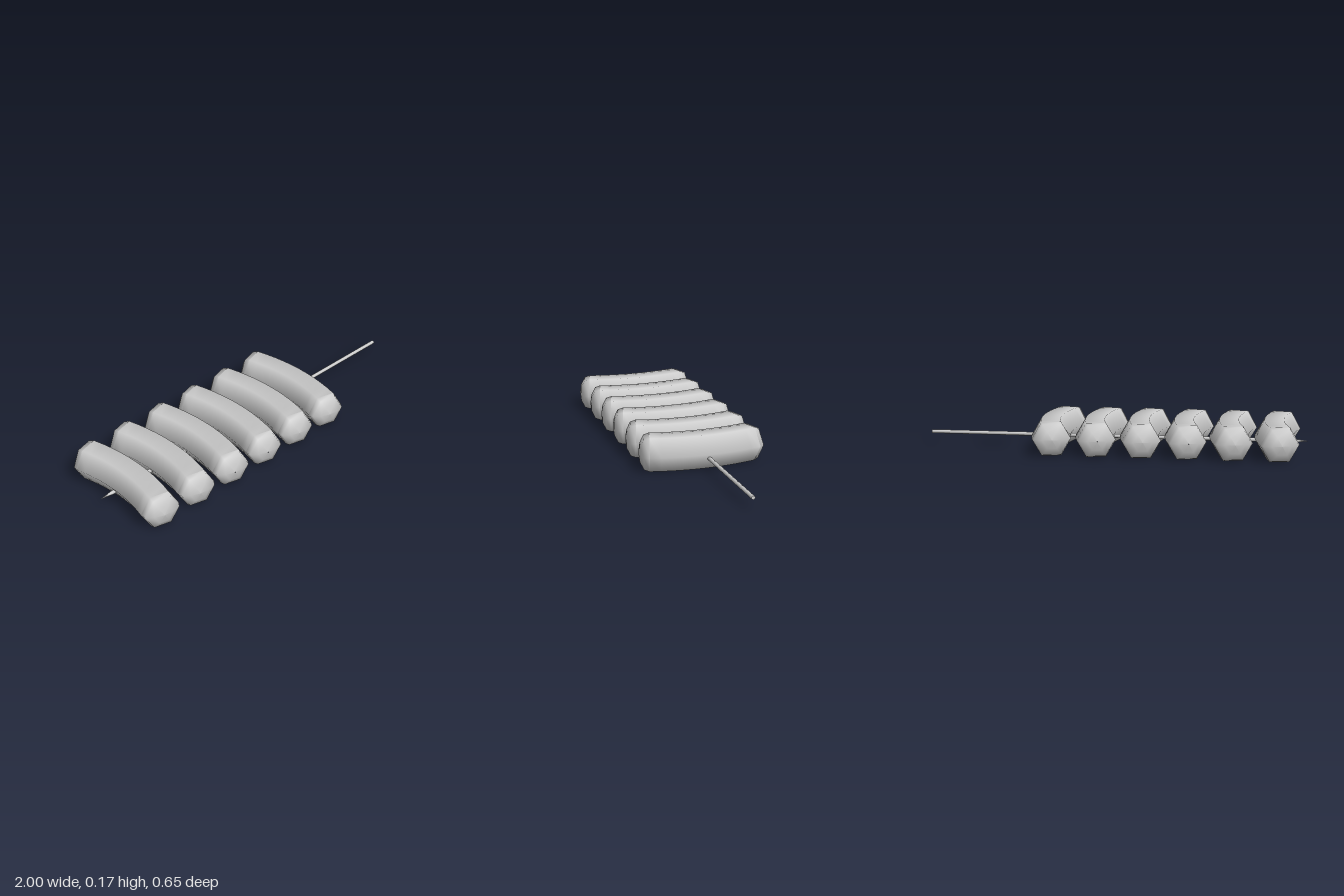
import * as THREE from 'three';

const material = new THREE.MeshStandardMaterial({ color: 0xcccccc });
const SIDES = 6, BEND = 1, HALF_ANGLE = 0.27, RADIUS = 0.1;

// Skin six-sided rings along a bent path; each ring is [arc angle, offset along tangent, radius]
function loft(rings) {
  const pos = [], index = [];
  for (const [t, h, r] of rings) {
    const c = Math.cos(t), s = Math.sin(t);
    for (let j = 0; j < SIDES; j++) {
      const a = (j / SIDES) * Math.PI * 2;
      const out = BEND + r * Math.cos(a);
      pos.push(out * c - BEND - h * s, r * Math.sin(a), out * s + h * c);
    }
  }
  for (let i = 0; i < rings.length - 1; i++) {
    for (let j = 0; j < SIDES; j++) {
      const k = (j + 1) % SIDES;
      const a = i * SIDES + j, b = i * SIDES + k;
      index.push(a, b, b + SIDES, a, b + SIDES, a + SIDES);
    }
  }
  const geometry = new THREE.BufferGeometry();
  geometry.setAttribute('position', new THREE.Float32BufferAttribute(pos, 3));
  geometry.setIndex(index);
  geometry.computeVertexNormals();
  return geometry;
}

function mesh(name, geometry) {
  const m = new THREE.Mesh(geometry, material);
  m.name = name;
  return m;
}

export function createModel() {
  const model = new THREE.Group();
  model.name = 'skewer';

  // Curved body and rounded ends shared by all pieces
  const bodyRings = [];
  for (let i = 0; i <= 10; i++) bodyRings.push([(i / 5 - 1) * HALF_ANGLE, 0, RADIUS]);
  const body = loft(bodyRings);
  const profile = [[0, RADIUS], [0.028, 0.09], [0.048, 0.05], [0.055, 0.001]];
  const frontCap = loft(profile.map(([h, r]) => [HALF_ANGLE, h, r]));
  const backCap = loft(profile.map(([h, r]) => [-HALF_ANGLE, -h, r]).reverse());

  // Row of six pieces
  for (let i = 0; i < 6; i++) {
    const piece = new THREE.Group();
    piece.name = `piece${i + 1}`;
    piece.add(mesh('body', body), mesh('frontEnd', frontCap), mesh('backEnd', backCap));
    piece.position.set(-0.825 + i * 0.231, 0.0868, 0);
    model.add(piece);
  }

  // Thin stick with a pointed tip towards -x
  const stickProfile = [[0.0005, -1], [0.01, -0.93], [0.01, -0.93], [0.01, 1], [0.01, 1], [0, 1]]
    .map(([r, y]) => new THREE.Vector2(r, y));
  const stick = mesh('stick', new THREE.LatheGeometry(stickProfile, 8));
  stick.rotation.z = -Math.PI / 2;
  stick.position.set(0, 0.0635, -0.008);
  model.add(stick);

  return model;
}
